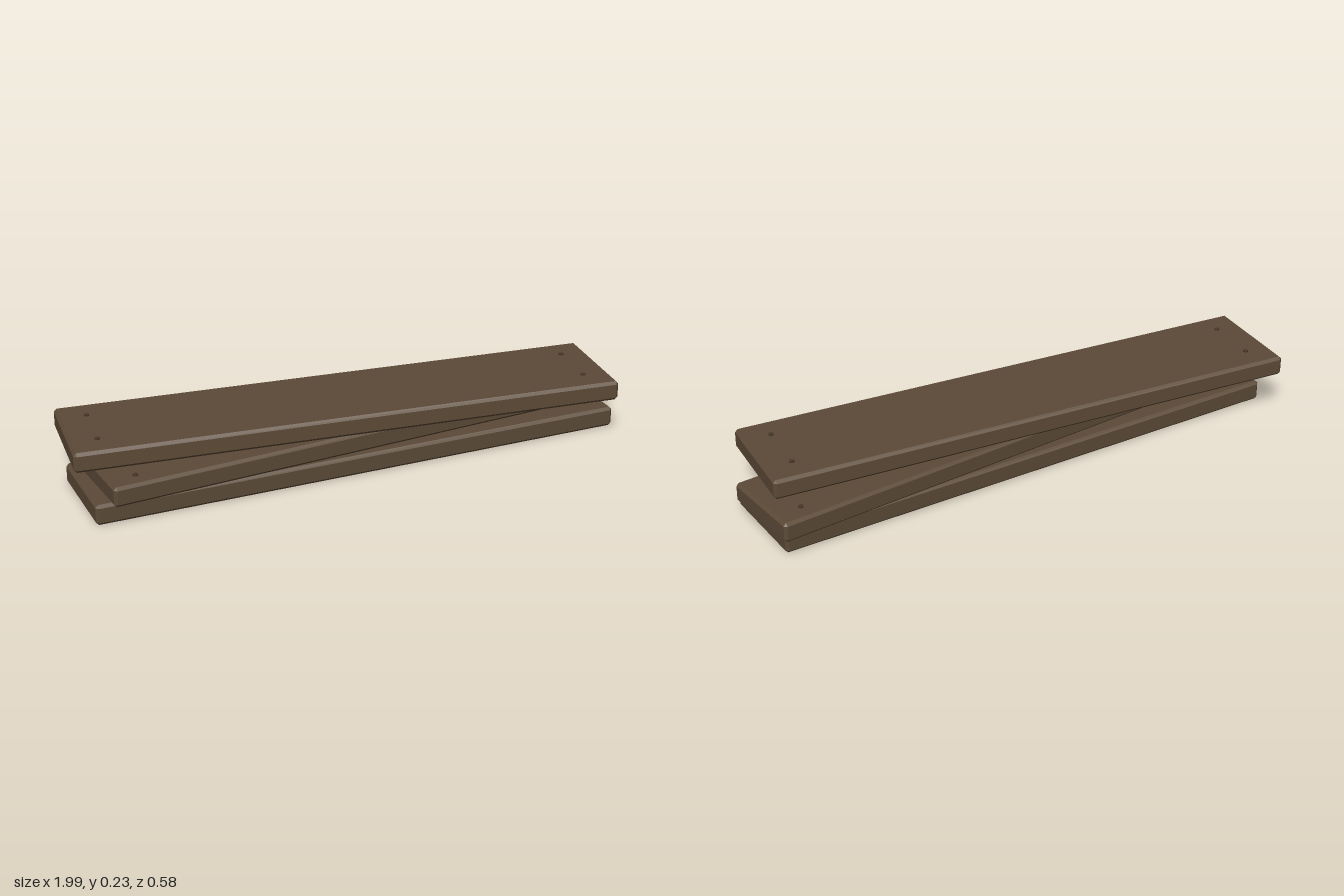
import * as THREE from 'three';
import { ConvexGeometry } from 'three/addons/geometries/ConvexGeometry.js';

const LENGTH = 1.912, THICK = 0.07, CHAMFER = 0.01;

// Box with every edge bevelled and every corner cut
function chamferedBox(w, h, d, c) {
  const points = [];
  for (const x of [-w / 2, w / 2])
    for (const y of [-h / 2, h / 2])
      for (const z of [-d / 2, d / 2]) {
        const ix = x - Math.sign(x) * c, iy = y - Math.sign(y) * c, iz = z - Math.sign(z) * c;
        points.push(
          new THREE.Vector3(x, iy, iz),
          new THREE.Vector3(ix, y, iz),
          new THREE.Vector3(ix, iy, z)
        );
      }
  return new ConvexGeometry(points);
}

export function createModel() {
  const model = new THREE.Group();
  model.name = 'plankStack';

  const wood = new THREE.MeshStandardMaterial({ color: 0x5c4a37 });
  wood.name = 'brown wood';
  const iron = new THREE.MeshStandardMaterial({ color: 0x46382b });
  iron.name = 'dark nail';

  const nailGeometry = new THREE.CylinderGeometry(0.009, 0.009, 0.012, 8);

  // Planks from bottom to top, each turned a little
  const planks = [
    { name: 'bottomPlank', x: -0.004, y: 0.037, z: 0.004, width: 0.352, turn: 0 },
    { name: 'middlePlank', x: 0.033, y: 0.113, z: 0.002, width: 0.318, turn: 4.05 },
    { name: 'topPlank', x: -0.028, y: 0.19, z: 0, width: 0.382, turn: -6 },
  ];

  for (const p of planks) {
    const group = new THREE.Group();
    group.name = p.name;
    group.position.set(p.x, p.y, p.z);
    group.rotation.y = THREE.MathUtils.degToRad(p.turn);

    const thick = p.turn === 0 ? THICK + 0.002 : THICK;
    const board = new THREE.Mesh(chamferedBox(LENGTH, thick, p.width, CHAMFER), wood);
    board.name = 'board';
    group.add(board);

    // Two nail heads at each end
    for (const sx of [-1, 1])
      for (const sz of [-1, 1]) {
        const nail = new THREE.Mesh(nailGeometry, iron);
        nail.name = 'nailHead';
        nail.position.set(sx * 0.86, thick / 2 - 0.001, sz * 0.096);
        group.add(nail);
      }
    model.add(group);
  }
  return model;
}
